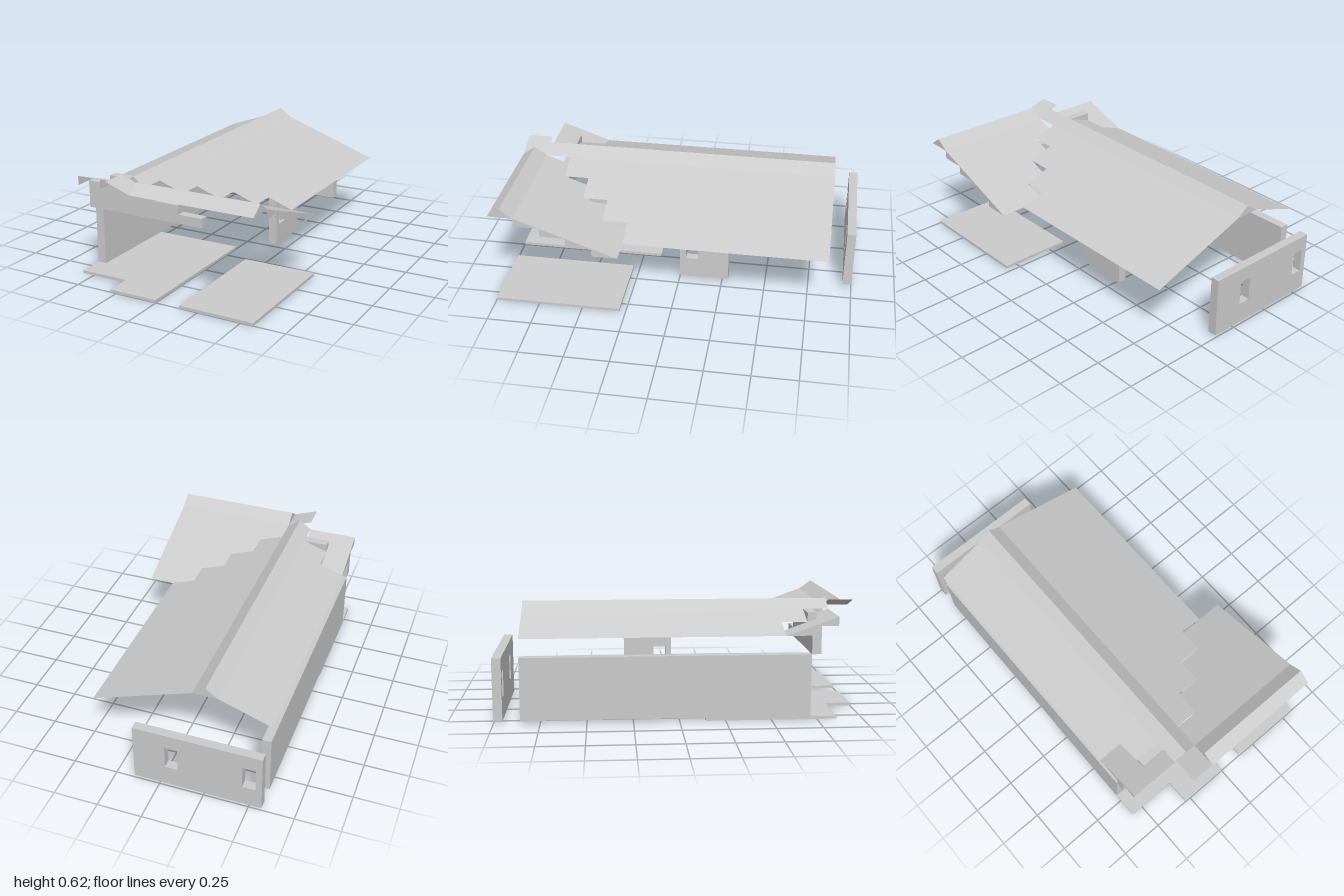
import * as THREE from 'three';

const U = 1 / 7;        // plan module
const H = 0.051;        // roof drop per module
const EAVE = 0.36;      // top of the walls
const RIM = EAVE + 4 * H;   // foot of the ridge caps
const TOP = RIM + H;        // ridge height
const SLAB = 0.016;
const T = 0.05;         // wall thickness

const solid = new THREE.MeshStandardMaterial({ color: 0xcccccc, flatShading: true });
const sheet = new THREE.MeshStandardMaterial({ color: 0xcccccc, flatShading: true, side: THREE.DoubleSide });

function box(name, x0, x1, y0, y1, z0, z1) {
  const m = new THREE.Mesh(new THREE.BoxGeometry(x1 - x0, y1 - y0, z1 - z0), solid);
  m.position.set((x0 + x1) / 2, (y0 + y1) / 2, (z0 + z1) / 2);
  m.name = name;
  return m;
}

// Thin surfaces from a list of triangles and quads
function surface(name, polys) {
  const pos = [];
  for (const p of polys)
    for (let i = 1; i < p.length - 1; i++) pos.push(...p[0], ...p[i], ...p[i + 1]);
  const g = new THREE.BufferGeometry();
  g.setAttribute('position', new THREE.Float32BufferAttribute(pos, 3));
  g.computeVertexNormals();
  const m = new THREE.Mesh(g, sheet);
  m.name = name;
  return m;
}

// Wall panel with window openings, drawn in its own x/y plane
function windowWall(name, width, centres) {
  const s = new THREE.Shape();
  s.moveTo(0, SLAB).lineTo(width, SLAB).lineTo(width, EAVE).lineTo(0, EAVE).closePath();
  for (const c of centres) {
    const a = c - U / 4, b = c + U / 4, lo = 0.137, hi = 0.275;
    s.holes.push(new THREE.Path().moveTo(a, lo).lineTo(a, hi).lineTo(b, hi).lineTo(b, lo).closePath());
  }
  const m = new THREE.Mesh(new THREE.ExtrudeGeometry(s, { depth: T, bevelEnabled: false }), solid);
  m.name = name;
  return m;
}

// Main roof: columns stepping back along the valley with the wing
function mainRoof() {
  const polys = [];
  const column = (xa, xb, ya, yb, zEnd) => {
    const z0 = -6 * U;
    const q = [[xa, ya, z0], [xa, ya, zEnd], [xb, yb, zEnd], [xb, yb, z0]];
    polys.push(xb > xa ? q : q.reverse());
  };
  for (let i = 0; i < 4; i++)
    column((i - 1) * U, i * U, RIM - i * H, RIM - (i + 1) * H, (5 - i) * U);
  for (let i = 0; i < 2; i++)
    column(-(2 + i) * U, -(3 + i) * U, RIM - i * H, RIM - (i + 1) * H, (5 - i) * U);
  // Ridge cap, with a gable web at every module
  column(-1.5 * U, -U, TOP, RIM, 6 * U);
  column(-1.5 * U, -2 * U, TOP, RIM, 6 * U);
  for (let k = -6; k <= 6; k++)
    polys.push([[-2 * U, RIM, k * U], [-U, RIM, k * U], [-1.5 * U, TOP, k * U]]);
  return surface('mainRoof', polys);
}

// Cross wing roof: rows falling towards the back, with triangular webs
function wingRoof() {
  const polys = [];
  const row = (r, from, to) => {
    const zh = (6 - r) * U, zl = zh - U, yh = RIM - r * H, yl = yh - H;
    const a = from * U, b = to * U;
    polys.push([[a, yh, zh], [a, yl, zl], [b, yl, zl], [b, yh, zh]]);
    for (let k = from; k <= to; k++)
      polys.push([[k * U, yl, zl], [k * U, yl, zh], [k * U, yh, zh]]);
  };
  for (let r = 0; r < 4; r++) row(r, r - 1, 4);
  row(0, -4, -2);
  row(1, -4, -3);
  // Ridge cap of the wing
  const a = -U, b = 4 * U, zb = 6 * U, zm = 6.5 * U, zf = 7 * U;
  polys.push([[a, RIM, zf], [b, RIM, zf], [b, TOP, zm], [a, TOP, zm]]);
  polys.push([[b, RIM, zb], [a, RIM, zb], [a, TOP, zm], [b, TOP, zm]]);
  for (let k = -1; k <= 4; k++)
    polys.push([[k * U, RIM, zf], [k * U, RIM, zb], [k * U, TOP, zm]]);
  // Corner tile joining the two ridges
  polys.push([[-2 * U, TOP, zb], [-2 * U, TOP, zf], [-U, RIM, zf], [-U, RIM, zb]]);
  return surface('wingRoof', polys);
}

export function createModel() {
  const model = new THREE.Group();

  // Floor slabs
  const floor = new THREE.Group();
  floor.name = 'floor';
  floor.add(
    box('floorFront', -2 * U, 0, 0, SLAB, U, 7 * U),
    box('floorSide', -4 * U, -2 * U, 0, SLAB, U, 6 * U),
    box('floorWing', U, 4 * U, 0, SLAB, 2 * U, 7 * U)
  );
  model.add(floor);

  // Walls
  model.add(box('longWall', -4 * U, -4 * U + T, SLAB, EAVE, -6 * U, 5 * U));
  const back = windowWall('backWall', 5 * U, [U / 2, 3.5 * U]);
  back.position.set(-4 * U, 0, -1);
  const side = windowWall('sideWall', 2 * U, [U / 2]);
  side.rotation.y = Math.PI / 2;
  side.position.set(U, 0, 0);
  model.add(back, side);

  // Stepped gable wall carried above the eaves
  const gable = new THREE.Group();
  gable.name = 'gableWall';
  [[-4, 1], [-4, 0], [-4, -1], [-3, -2]].forEach(([a, b], i) =>
    gable.add(box('gableCourse', a * U, b * U, EAVE + i * H, EAVE + (i + 1) * H, 5 * U, 5 * U + T)));
  model.add(gable);

  model.add(mainRoof(), wingRoof());
  return model;
}
